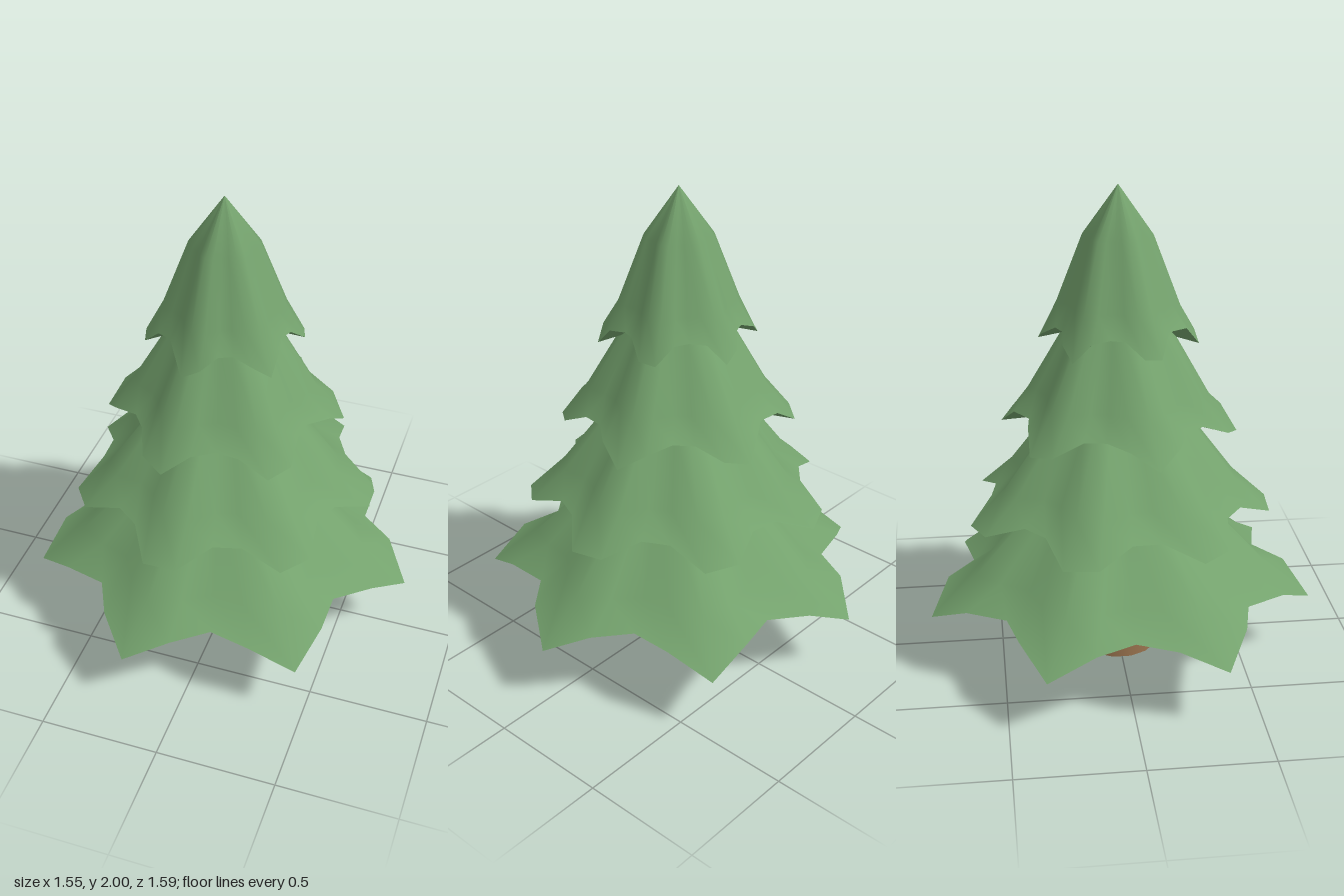
import * as THREE from 'three';

const SEGMENTS = 28;
const AXIS_X = -0.04;

// Skirt rings from apex to rim: [height fraction, radius fraction, waviness, droop]
const RINGS = [
  [1, 0, 0, 0],
  [0.64, 0.46, 0.5, 0],
  [0.16, 0.78, 0.8, 0.15],
  [0, 1, 1, 1],
];

// Foliage tiers: [rim height, rim radius, number of lobes]
const TIERS = [
  [0.34, 0.72, 7],
  [0.71, 0.575, 7],
  [1.08, 0.433, 6],
  [1.45, 0.288, 6],
];
const TIER_HEIGHT = 0.55;
const WAVE = 0.13;
const DROOP = 0.085;

function build(positions, indices) {
  const g = new THREE.BufferGeometry();
  g.setAttribute('position', new THREE.Float32BufferAttribute(positions, 3));
  g.setIndex(indices);
  return g;
}

// Point on a wavy ring whose lobes stick out and droop at their tips
function ringPoint([height, radius, wave, droop], j, [rimY, rimR, lobes], phase) {
  const angle = (j / SEGMENTS) * Math.PI * 2;
  const c = Math.cos(lobes * angle + phase);
  const r = rimR * radius * (1 + WAVE * wave * c);
  const y = rimY + TIER_HEIGHT * height - DROOP * droop * Math.max(0, c);
  return [r * Math.cos(angle), y, r * Math.sin(angle)];
}

// Smooth outer surface of a tier
function skirtGeometry(tier, phase) {
  const positions = [], indices = [];
  RINGS.forEach((ring, i) => {
    for (let j = 0; j < SEGMENTS; j++) {
      positions.push(...ringPoint(ring, j, tier, phase));
      if (i === RINGS.length - 1) continue;
      const k = (j + 1) % SEGMENTS;
      const a = i * SEGMENTS + j, b = i * SEGMENTS + k;
      const c = a + SEGMENTS, d = b + SEGMENTS;
      if (i > 0) indices.push(a, b, c);
      indices.push(b, d, c);
    }
  });
  const g = build(positions, indices);
  g.computeVertexNormals();
  return g;
}

// Faceted fan closing a tier from below
function undersideGeometry(tier, phase) {
  const positions = [0, tier[0], 0], indices = [];
  for (let j = 0; j < SEGMENTS; j++) {
    positions.push(...ringPoint(RINGS[RINGS.length - 1], j, tier, phase));
    indices.push(0, 1 + j, 1 + ((j + 1) % SEGMENTS));
  }
  const g = build(positions, indices).toNonIndexed();
  g.computeVertexNormals();
  return g;
}

function addMesh(parent, name, geometry, material) {
  const mesh = new THREE.Mesh(geometry, material);
  mesh.name = name;
  parent.add(mesh);
  return mesh;
}

export function createModel() {
  const needleGreen = new THREE.MeshStandardMaterial({ color: 0x74a26d });
  needleGreen.name = 'needle green';
  const barkBrown = new THREE.MeshStandardMaterial({ color: 0x906c49 });
  barkBrown.name = 'bark brown';

  const tree = new THREE.Group();
  tree.name = 'pineTree';

  // Trunk with a flared foot
  const upper = addMesh(tree, 'trunk', new THREE.CylinderGeometry(0.122, 0.13, 0.3, 14, 1, true), barkBrown);
  upper.position.set(AXIS_X, 0.36, 0);
  const foot = addMesh(tree, 'trunkFoot', new THREE.CylinderGeometry(0.13, 0.168, 0.21, 14), barkBrown);
  foot.position.set(AXIS_X, 0.105, 0);

  // Foliage tiers, each turned a little from the one below
  TIERS.forEach((tier, i) => {
    const group = new THREE.Group();
    group.name = `foliageTier${i + 1}`;
    group.position.x = AXIS_X;
    addMesh(group, 'skirt', skirtGeometry(tier, 0.7 * i), needleGreen);
    addMesh(group, 'underside', undersideGeometry(tier, 0.7 * i), needleGreen);
    tree.add(group);
  });

  return tree;
}
